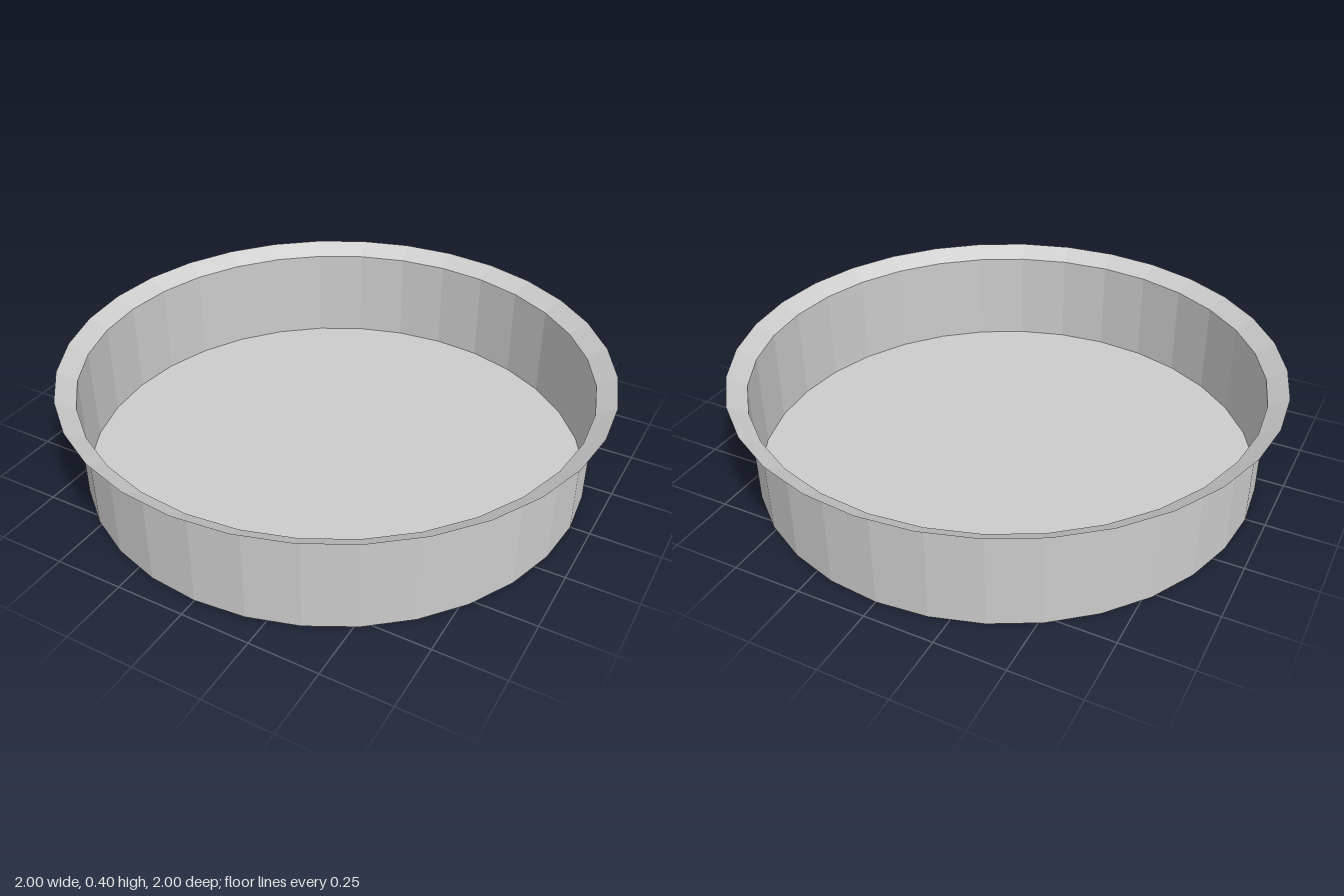
import * as THREE from 'three';

const SIDES = 32;
const WALL_RADIUS = 0.93;
const RIM_RADIUS = 1;
const WALL_HEIGHT = 0.36;
const TOTAL_HEIGHT = 0.4;

export function createModel() {
  const group = new THREE.Group();
  group.name = 'shallowPan';
  const material = new THREE.MeshStandardMaterial({
    color: 0xcccccc, flatShading: true, side: THREE.DoubleSide,
  });

  const add = (name, geometry) => {
    const mesh = new THREE.Mesh(geometry, material);
    mesh.name = name;
    group.add(mesh);
  };

  // Open thin-walled ring between two heights
  const ring = (topRadius, bottomRadius, y0, y1) =>
    new THREE.CylinderGeometry(topRadius, bottomRadius, y1 - y0, SIDES, 1, true)
      .translate(0, (y0 + y1) / 2, 0);

  // Flat base
  add('base', new THREE.CircleGeometry(WALL_RADIUS, SIDES).rotateX(-Math.PI / 2));
  // Upright side wall
  add('wall', ring(WALL_RADIUS, WALL_RADIUS, 0, WALL_HEIGHT));
  // Outward flaring lip
  add('rim', ring(RIM_RADIUS, WALL_RADIUS, WALL_HEIGHT, TOTAL_HEIGHT));

  return group;
}
